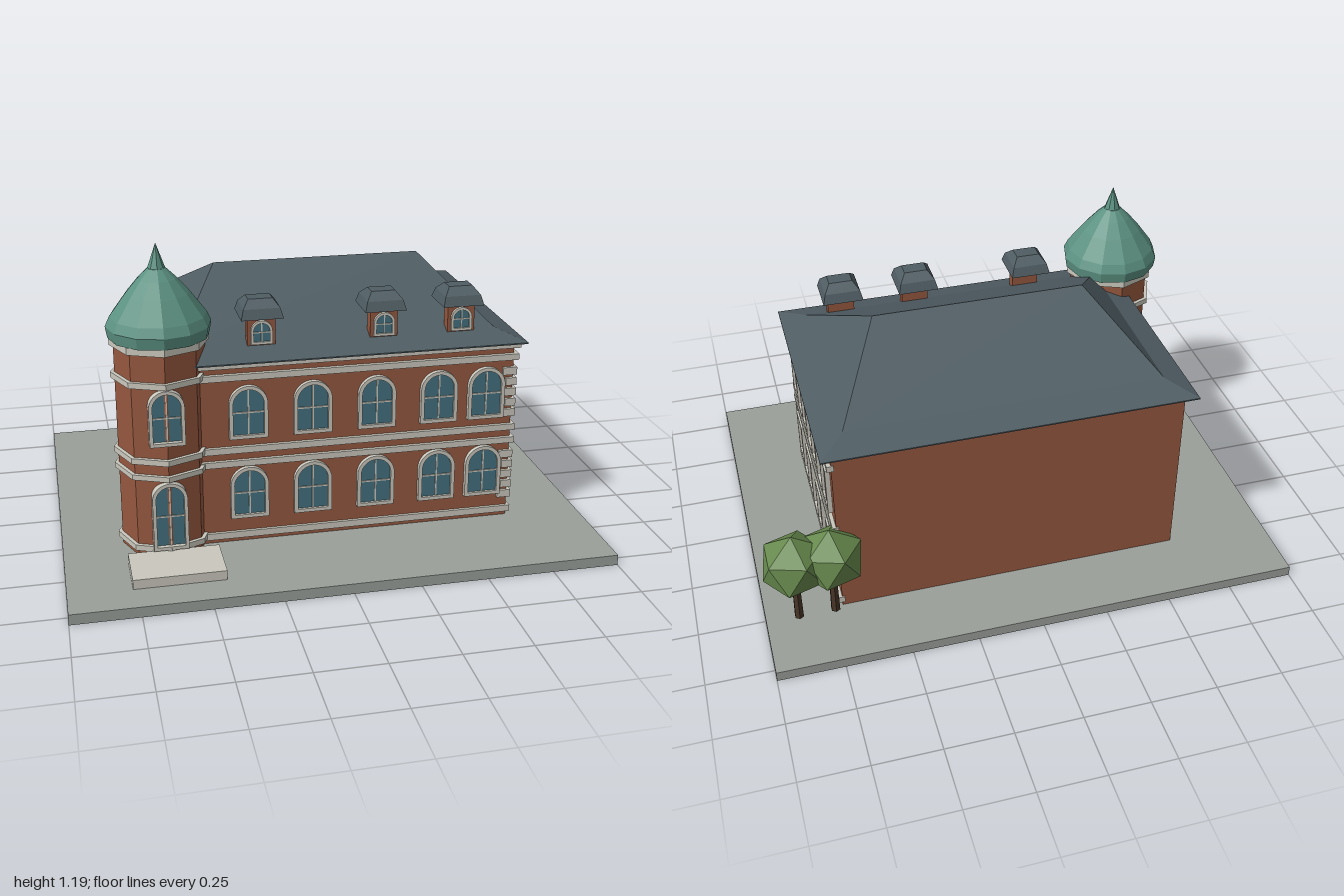
import * as THREE from 'three';

const mat = (color) => new THREE.MeshStandardMaterial({ color, flatShading: true });
const M = {
  paving: mat(0x9a9f99), brick: mat(0x96583f), cream: mat(0xcac8bd), glass: mat(0x44717f),
  roof: mat(0x4f5d63), copper: mat(0x5c9282), leaf: mat(0x67894d), bark: mat(0x4a3728),
};

function add(parent, name, geo, material, x = 0, y = 0, z = 0) {
  const mesh = new THREE.Mesh(geo, material);
  mesh.name = name;
  mesh.position.set(x, y, z);
  parent.add(mesh);
  return mesh;
}

// Box given by its extents
function block(parent, name, material, x0, x1, y0, y1, z0, z1) {
  return add(parent, name, new THREE.BoxGeometry(x1 - x0, y1 - y0, z1 - z0), material,
    (x0 + x1) / 2, (y0 + y1) / 2, (z0 + z1) / 2);
}

// Solid skinned over stacked rectangles [halfX, halfZ, y]
function rectLoft(rings) {
  const pos = [];
  const corners = ([a, b, y]) => [[-a, y, b], [a, y, b], [a, y, -b], [-a, y, -b]];
  const quad = (a, b, c, d) => pos.push(...a, ...b, ...c, ...a, ...c, ...d);
  for (let i = 0; i < rings.length - 1; i++) {
    const lo = corners(rings[i]), hi = corners(rings[i + 1]);
    for (let k = 0; k < 4; k++) {
      const n = (k + 1) % 4;
      quad(lo[k], lo[n], hi[n], hi[k]);
    }
  }
  const bottom = corners(rings[0]), top = corners(rings[rings.length - 1]);
  quad(bottom[3], bottom[2], bottom[1], bottom[0]);
  quad(top[0], top[1], top[2], top[3]);
  const geo = new THREE.BufferGeometry();
  geo.setAttribute('position', new THREE.Float32BufferAttribute(pos, 3));
  geo.computeVertexNormals();
  return geo;
}

// Round-headed outline standing on y0
function archOutline(target, w, y0, h) {
  const r = w / 2;
  target.moveTo(-r, y0);
  target.lineTo(r, y0);
  target.lineTo(r, h - r);
  target.absarc(0, h - r, r, 0, Math.PI, false);
  target.lineTo(-r, y0);
  return target;
}

const extrude = (shape, depth) =>
  new THREE.ExtrudeGeometry(shape, { depth, bevelEnabled: false, curveSegments: 10 });

function archWindow(parent, name, w, h, t, x, y, z, recess, proud) {
  const g = new THREE.Group();
  g.name = name;
  g.position.set(x, y, z);
  const frame = archOutline(new THREE.Shape(), w, 0, h);
  frame.holes.push(archOutline(new THREE.Path(), w - 2 * t, t, h - t));
  add(g, 'windowFrame', extrude(frame, proud), M.cream);
  add(g, 'windowPane', extrude(archOutline(new THREE.Shape(), w - t, t / 2, h - t / 2), recess), M.glass);
  const bar = t * 0.4;
  block(g, 'verticalBar', M.cream, -bar / 2, bar / 2, t, h - t, 0, recess + 0.004);
  block(g, 'crossBar', M.cream, -w / 2 + t, w / 2 - t, h * 0.48, h * 0.48 + bar, 0, recess + 0.004);
  parent.add(g);
}

// Rectangular window, facing +x
function sideWindow(parent, y, z) {
  const g = new THREE.Group();
  g.name = 'sideWindow';
  g.position.set(0.71, y, z);
  const w = 0.065, h = 0.195, t = 0.012;
  block(g, 'windowPane', M.glass, 0, 0.008, t, h - t, -w + t, w - t);
  for (const s of [-1, 1]) {
    block(g, 'jamb', M.cream, 0, 0.018, 0, h, s * (w - t / 2) - t / 2, s * (w - t / 2) + t / 2);
    block(g, 'sashBar', M.cream, 0, 0.011, t, h - t, s * 0.03 - 0.0015, s * 0.03 + 0.0015);
  }
  block(g, 'mullion', M.cream, 0, 0.014, 0, h, -0.004, 0.004);
  block(g, 'sill', M.cream, 0, 0.018, 0, t, -w, w);
  block(g, 'lintel', M.cream, 0, 0.018, h - t, h, -w, w);
  parent.add(g);
}

function buildHouse() {
  const g = new THREE.Group();
  g.name = 'mainBuilding';
  block(g, 'brickWalls', M.brick, -0.61, 0.71, 0.04, 0.765, -0.53, 0.39);

  // Stone bands along the front and right walls
  for (const [y0, y1, out] of [[0.057, 0.083, 0.012], [0.35, 0.374, 0.014], [0.403, 0.428, 0.014],
    [0.688, 0.712, 0.016], [0.737, 0.763, 0.02]]) {
    block(g, 'frontBand', M.cream, -0.61, 0.71 + out, y0, y1, 0.38, 0.39 + out);
    block(g, 'sideBand', M.cream, 0.7, 0.71 + out, y0, y1, -0.535, 0.39);
  }

  // Corner stones, alternately long and short
  for (const y of [0.12, 0.46]) {
    for (let i = 0; i < 5; i++) {
      const s = i % 2 ? 0.03 : 0.042;
      block(g, 'cornerStone', M.cream, 0.71 - s, 0.722, y + i * 0.042, y + i * 0.042 + 0.03, 0.39 - s, 0.402);
    }
  }

  for (const y of [0.14, 0.46]) {
    for (const x of [-0.305, -0.065, 0.178, 0.418, 0.604])
      archWindow(g, 'frontWindow', 0.143, 0.205, 0.014, x, y, 0.388, 0.01, 0.02);
  }
  for (const y of [0.135, 0.46]) {
    for (const z of [0.27, 0.04, -0.19, -0.42]) sideWindow(g, y, z);
  }

  // Hipped roof with flared eaves
  add(g, 'hippedRoof', rectLoft([[0.7, 0.5, 0.757], [0.7, 0.5, 0.762], [0.6, 0.39, 0.797], [0.405, 0, 1.0]]),
    M.roof, 0.05, 0, -0.07);

  // Dormers
  for (const x of [-0.242, 0.217, 0.515]) {
    const d = new THREE.Group();
    d.name = 'dormer';
    d.position.x = x;
    block(d, 'dormerWall', M.brick, -0.052, 0.052, 0.775, 0.905, 0.29, 0.333);
    archWindow(d, 'dormerWindow', 0.08, 0.09, 0.01, 0, 0.798, 0.332, 0.006, 0.012);
    add(d, 'dormerHood', rectLoft([[0.078, 0.078, 0.898], [0.068, 0.064, 0.935], [0.045, 0.03, 0.964]]),
      M.roof, 0, 0, 0.286);
    g.add(d);
  }
  return g;
}

function buildTower() {
  const g = new THREE.Group();
  g.name = 'cornerTower';
  g.position.set(-0.61, 0, 0.31);
  const drum = (name, material, r, y0, y1) =>
    add(g, name, new THREE.CylinderGeometry(r, r, y1 - y0, 8), material, 0, (y0 + y1) / 2, 0);
  drum('towerWall', M.brick, 0.165, 0.04, 0.86);
  for (const [y0, y1] of [[0.066, 0.088], [0.35, 0.37], [0.412, 0.434], [0.702, 0.724], [0.826, 0.852]])
    drum('towerBand', M.cream, 0.18, y0, y1);

  archWindow(g, 'towerWindow', 0.128, 0.21, 0.013, 0, 0.49, 0.137, 0.025, 0.042);
  archWindow(g, 'towerDoor', 0.128, 0.265, 0.013, 0, 0.08, 0.137, 0.025, 0.042);

  // Bulbous dome and its spire
  const dome = [[0, 0.853], [0.183, 0.853], [0.19, 0.895], [0.174, 0.93], [0.148, 0.965], [0.115, 1.01],
    [0.07, 1.063], [0.032, 1.1], [0, 1.1]].map(([r, y]) => new THREE.Vector2(r, y));
  add(g, 'towerDome', new THREE.LatheGeometry(dome, 12), M.copper);
  add(g, 'spire', new THREE.ConeGeometry(0.035, 0.1, 8), M.copper, 0, 1.14, 0);
  return g;
}

function buildTree(x) {
  const g = new THREE.Group();
  g.name = 'tree';
  g.position.set(x, 0, -0.565);
  add(g, 'trunk', new THREE.CylinderGeometry(0.015, 0.018, 0.2, 6), M.bark, 0, 0.162, 0);
  // Turned so that one corner points straight up
  const crown = new THREE.IcosahedronGeometry(0.128, 0).rotateZ(Math.atan2(2, 1 + Math.sqrt(5)));
  add(g, 'crown', crown, M.leaf, 0, 0.324, 0);
  return g;
}

export function createModel() {
  const model = new THREE.Group();
  model.name = 'brickTownHouse';
  block(model, 'pavedGround', M.paving, -1, 1, 0, 0.04, -0.8, 0.8);
  block(model, 'entranceStep', M.cream, -0.77, -0.435, 0.04, 0.076, 0.475, 0.675);
  model.add(buildHouse(), buildTower(), buildTree(0.742), buildTree(0.878));
  return model;
}
